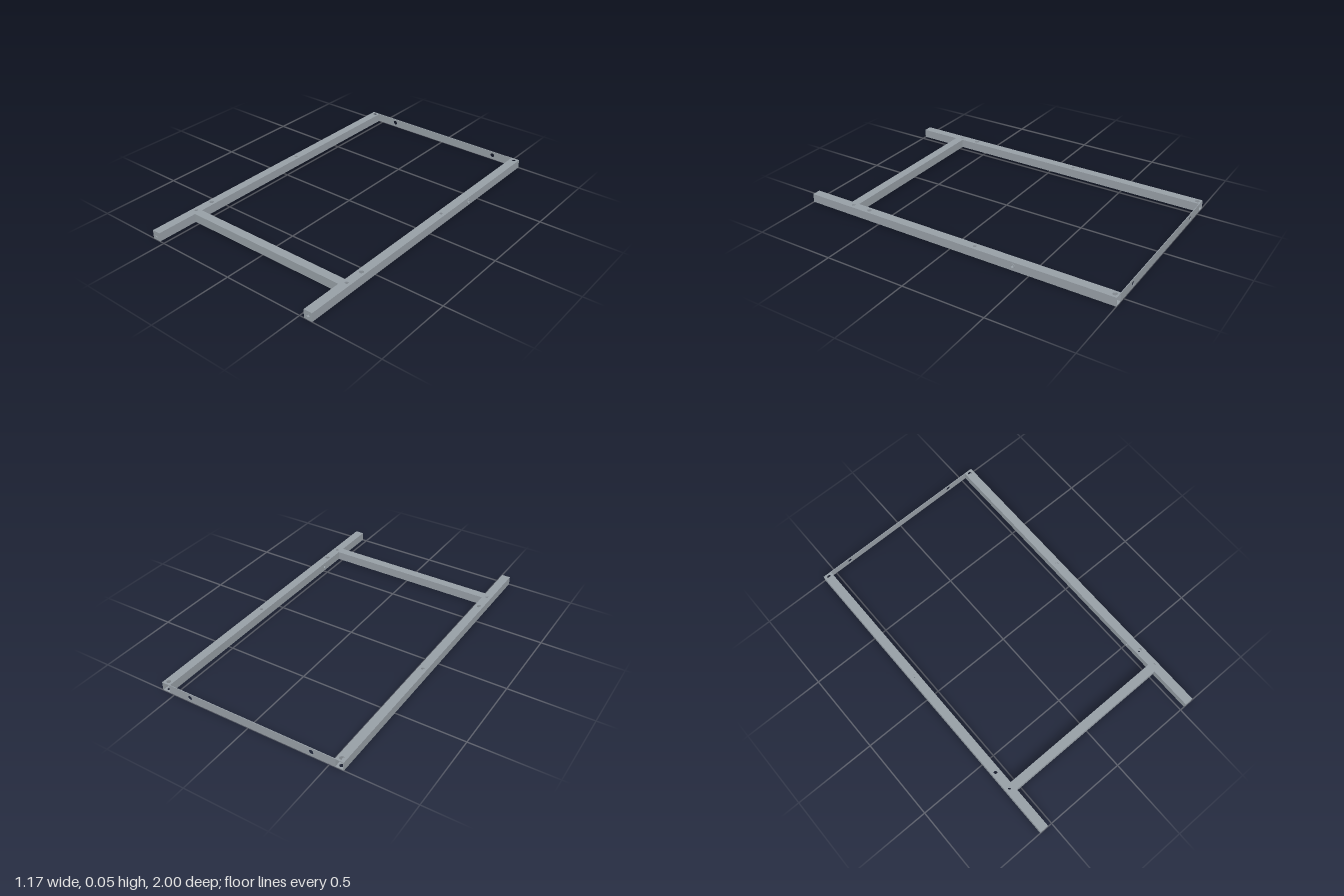
import * as THREE from 'three';
import { toCreasedNormals } from 'three/addons/utils/BufferGeometryUtils.js';

const H = 0.053;  // square tube size
const T = 0.004;  // wall thickness
const LENGTH = 2;
const LEFT_X = 0.5545, RIGHT_X = -0.5565;

const steel = new THREE.MeshStandardMaterial({ color: 0x979fa6 });

// Flat sheet in the XY plane, centred, with round holes [x, y, radius]
function sheet(name, w, h, holes = []) {
  const s = new THREE.Shape();
  s.moveTo(-w / 2, -h / 2);
  s.lineTo(w / 2, -h / 2);
  s.lineTo(w / 2, h / 2);
  s.lineTo(-w / 2, h / 2);
  s.closePath();
  for (const [x, y, r] of holes) {
    s.holes.push(new THREE.Path().absarc(x, y, r, 0, Math.PI * 2, true));
  }
  const geo = new THREE.ExtrudeGeometry(s, { depth: T, bevelEnabled: false, curveSegments: 12 });
  geo.translate(0, 0, -T / 2);
  const mesh = new THREE.Mesh(geo, steel);
  mesh.name = name;
  return mesh;
}

// Side rail: four walls, capped at the front and open at the back
function rail(name, x, outerHoles = [], innerHoles = []) {
  const g = new THREE.Group();
  g.name = name;
  const boltHoles = [[-0.977, 0.013], [-0.147, 0.0095], [0.586, 0.013], [0.706, 0.0095]];

  for (const [part, y] of [['topWall', H - T / 2], ['bottomWall', T / 2]]) {
    const wall = sheet(part, H, LENGTH, boltHoles.map(([z, r]) => [0, z, r]));
    wall.rotation.x = Math.PI / 2; // sheet y becomes z
    wall.position.y = y;
    g.add(wall);
  }
  for (const side of [-1, 1]) {
    const outer = side === Math.sign(x);
    const wall = sheet(outer ? 'outerWall' : 'innerWall', LENGTH, H - 2 * T, outer ? outerHoles : innerHoles);
    wall.rotation.y = -Math.PI / 2; // sheet x becomes z
    wall.position.set(side * (H - T) / 2, H / 2, 0);
    g.add(wall);
  }
  const cap = sheet('frontCap', H - 2 * T, H - 2 * T, [[0, 0, 0.0095]]);
  cap.position.set(0, H / 2, LENGTH / 2 - T / 2);
  g.add(cap);

  g.position.x = x;
  return g;
}

// Hollow cross bar between the rails
function crossBar() {
  const a = H / 2, b = H / 2 - T;
  const square = (path, r) => path.setFromPoints(
    [[-r, -r], [r, -r], [r, r], [-r, r]].map(([x, y]) => new THREE.Vector2(x, y)));
  const s = square(new THREE.Shape(), a);
  s.holes.push(square(new THREE.Path(), b));
  const span = LEFT_X - RIGHT_X - H;
  const geo = new THREE.ExtrudeGeometry(s, { depth: span, bevelEnabled: false });
  geo.translate(0, 0, -span / 2);
  const mesh = new THREE.Mesh(geo, steel);
  mesh.name = 'crossBar';
  mesh.rotation.y = Math.PI / 2;
  mesh.position.set((LEFT_X + RIGHT_X) / 2, H / 2, 0.7125);
  return mesh;
}

// Threaded sleeve with a thin flange, set into the left rail
function sleeve() {
  const profile = [
    [0.009, -0.022], [0.013, -0.022], [0.013, 0.026], [0.017, 0.026],
    [0.017, 0.029], [0.009, 0.029], [0.009, -0.022],
  ].map(([x, y]) => new THREE.Vector2(x, y));
  const geo = toCreasedNormals(new THREE.LatheGeometry(profile, 24), Math.PI / 6);
  const mesh = new THREE.Mesh(geo, steel);
  mesh.name = 'threadedSleeve';
  mesh.rotation.z = -Math.PI / 2;
  mesh.position.set(LEFT_X, H / 2, -0.4);
  return mesh;
}

export function createModel() {
  const model = new THREE.Group();
  model.name = 'tubeFrame';

  model.add(rail('leftRail', LEFT_X, [[-0.4, 0, 0.013]], [[0.51, 0, 0.009]]));
  model.add(rail('rightRail', RIGHT_X));
  model.add(crossBar());
  model.add(sleeve());

  // Thin rear strip joining the rail ends
  const strip = sheet('rearStrip', LEFT_X - RIGHT_X - H, H, [[-0.39, 0, 0.014], [0.39, 0, 0.014]]);
  strip.position.set((LEFT_X + RIGHT_X) / 2, H / 2, -LENGTH / 2 + T / 2);
  model.add(strip);

  return model;
}
